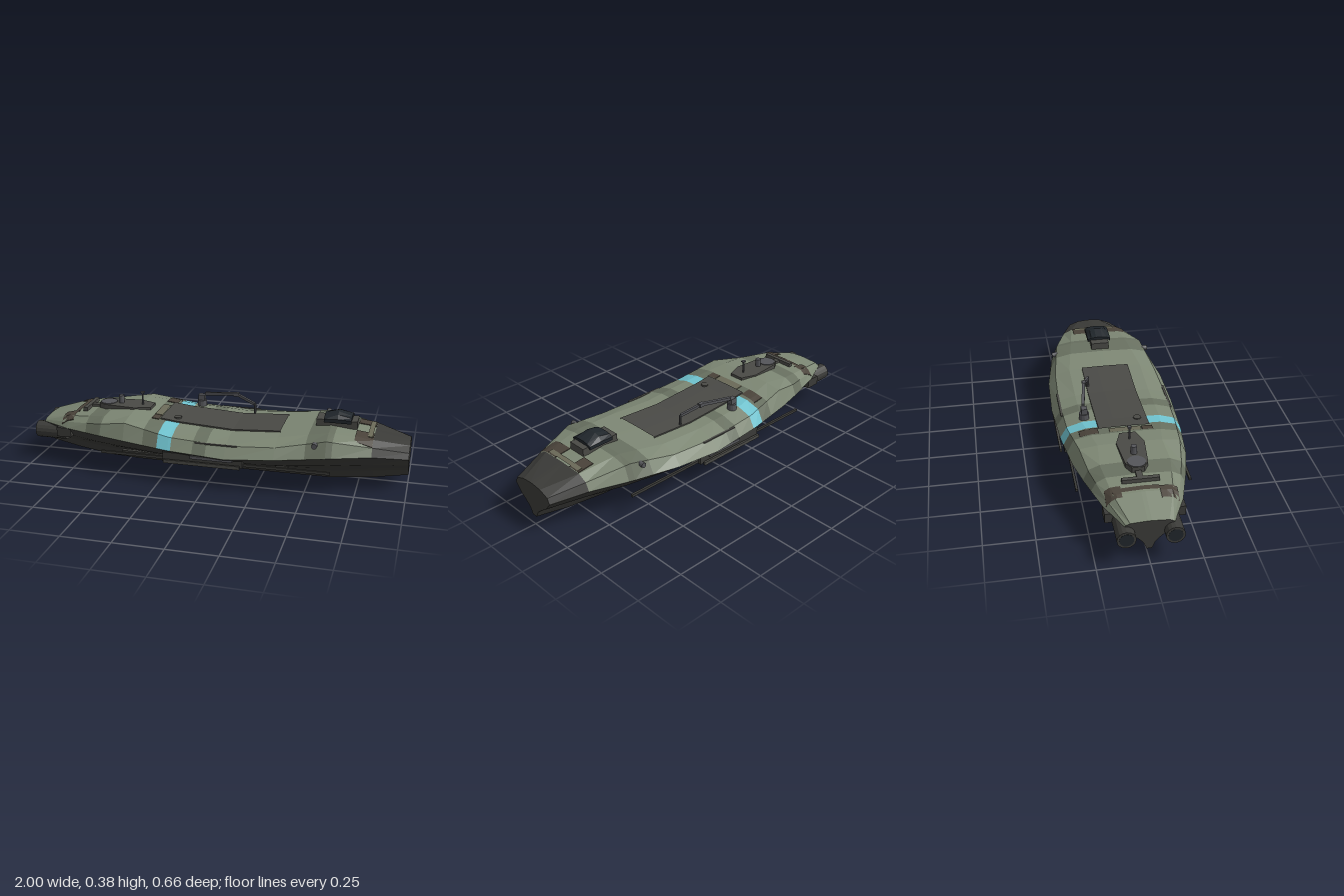
import * as THREE from 'three';

const mat = (color) => new THREE.MeshStandardMaterial({ color, flatShading: true, side: THREE.DoubleSide });
const M = {
  hull: mat(0x3b3b38), green: mat(0x7d8774), olive: mat(0x687060), cyan: mat(0x70c4d0),
  brown: mat(0x4a433a), panel: mat(0x4a4a46), metal: mat(0x55565a), black: mat(0x20262b), tan: mat(0x6b6a58),
};

// Stations: x, keel y, chine z/y, shoulder z/y, deck edge z/y, centre y
const STATIONS = [
  [-0.96, 0.06, 0.115, 0.20, 0.11, 0.207, 0.09, 0.215, 0.22],
  [-0.80, 0.03, 0.19, 0.20, 0.17, 0.23, 0.14, 0.255, 0.262],
  [-0.60, 0.005, 0.25, 0.20, 0.225, 0.255, 0.17, 0.28, 0.285],
  [-0.45, 0, 0.285, 0.197, 0.25, 0.283, 0.16, 0.296, 0.299],
  [-0.20, 0, 0.315, 0.18, 0.28, 0.24, 0.20, 0.265, 0.27],
  [0.10, 0, 0.33, 0.167, 0.29, 0.225, 0.20, 0.248, 0.252],
  [0.35, 0, 0.32, 0.185, 0.28, 0.237, 0.20, 0.263, 0.267],
  [0.60, 0, 0.275, 0.20, 0.245, 0.28, 0.16, 0.295, 0.298],
  [0.82, 0.02, 0.20, 0.20, 0.18, 0.243, 0.13, 0.268, 0.272],
  [1.00, 0.05, 0.135, 0.18, 0.12, 0.21, 0.065, 0.23, 0.235],
];

function station(x) {
  let i = 0;
  while (i < STATIONS.length - 2 && x > STATIONS[i + 1][0]) i++;
  const a = STATIONS[i], b = STATIONS[i + 1], t = (x - a[0]) / (b[0] - a[0]);
  return a.map((v, k) => v + (b[k] - v) * t);
}
const mirrorZ = (pts) => pts.concat(pts.slice().reverse().map(([z, y]) => [-z, y]));

// Deck runs over the top from +z to -z; hull runs underneath from -z to +z
function deckSection(x) {
  const [, , w, yc, s, ys, d, yd, yt] = station(x);
  return mirrorZ([[w, yc], [s, ys], [d, yd], [0.01, yt]]);
}
function hullSection(x) {
  const [, k, w, yc] = station(x);
  const h = yc - k, f = w / 0.33;
  return mirrorZ([[-w, yc], [-0.245 * f, k + h * 0.67], [-0.14 * f, k + h * 0.43], [-0.08 * f, k + h * 0.27], [-0.035 * f, k]]);
}
function deckY(x, z) {
  const p = deckSection(x);
  z = Math.abs(z);
  for (let i = 3; i > 0; i--) {
    if (z <= p[i - 1][0]) return p[i][1] + (p[i - 1][1] - p[i][1]) * Math.max(0, (z - p[i][0]) / (p[i - 1][0] - p[i][0]));
  }
  return p[0][1];
}

function loft(name, x0, x1, section, material) {
  const xs = [x0, ...STATIONS.map((s) => s[0]).filter((x) => x > x0 + 0.001 && x < x1 - 0.001), x1];
  const pos = [], idx = [];
  let n = 0;
  xs.forEach((x) => {
    const pts = section(x);
    n = pts.length;
    pts.forEach(([z, y]) => pos.push(x, y, z));
  });
  for (let r = 0; r < xs.length - 1; r++) {
    for (let i = 0; i < n - 1; i++) {
      const a = r * n + i, b = a + n;
      idx.push(a, b, b + 1, a, b + 1, a + 1);
    }
  }
  const g = new THREE.BufferGeometry();
  g.setAttribute('position', new THREE.Float32BufferAttribute(pos, 3));
  g.setIndex(idx);
  g.computeVertexNormals();
  const m = new THREE.Mesh(g, material);
  m.name = name;
  return m;
}

// Thin strip lying on the deck surface
function patch(name, x0, x1, z0, z1, material, lift = 0.004) {
  const section = (x) => {
    const zs = [z1, z1 + (z0 - z1) / 3, z1 + (z0 - z1) * 2 / 3, z0];
    const top = zs.map((z) => [z, deckY(x, z) + lift]);
    return [[z1, deckY(x, z1) - 0.005], ...top, [z0, deckY(x, z0) - 0.005]];
  };
  return loft(name, x0, x1, section, material);
}

function endCap(name, x, material) {
  const pts = [...deckSection(x), ...hullSection(x).slice(1, -1)];
  const g = new THREE.ShapeGeometry(new THREE.Shape(pts.map(([z, y]) => new THREE.Vector2(-z, y))));
  const m = new THREE.Mesh(g.rotateY(Math.PI / 2).translate(x, 0, 0), material);
  m.name = name;
  return m;
}
function mesh(name, geometry, material, x, y, z) {
  const m = new THREE.Mesh(geometry, material);
  m.name = name;
  m.position.set(x, y, z);
  return m;
}
const box = (name, w, h, d, x, y, z, material) => mesh(name, new THREE.BoxGeometry(w, h, d), material, x, y, z);
const cyl = (name, r, h, x, y, z, material, n = 12) => mesh(name, new THREE.CylinderGeometry(r, r, h, n), material, x, y, z);
function beam(name, a, b, thick, material) {
  const p = new THREE.Vector3(...a), q = new THREE.Vector3(...b);
  const m = box(name, thick, thick, p.distanceTo(q), 0, 0, 0, material);
  m.position.copy(p).add(q).multiplyScalar(0.5);
  m.lookAt(q);
  return m;
}

export function createModel() {
  const model = new THREE.Group();
  model.name = 'patrolBoat';

  // Hull and painted deck bands
  model.add(loft('hull', -0.96, 1, hullSection, M.hull), endCap('transom', -0.96, M.hull), endCap('bowFace', 1, M.hull));
  const bands = [[-0.96, 'green'], [-0.68, 'olive'], [-0.59, 'green'], [-0.34, 'olive'], [-0.26, 'cyan'], [-0.185, 'green'],
    [-0.07, 'olive'], [0, 'green'], [0.5, 'olive'], [0.63, 'green'], [0.82, 'hull'], [1]];
  for (let i = 0; i < bands.length - 1; i++) {
    model.add(loft('deckBand', bands[i][0], bands[i + 1][0], deckSection, M[bands[i][1]]));
  }

  // Deck panels and camouflage patches
  model.add(patch('deckHatch', -0.29, 0.35, -0.13, 0.13, M.panel, 0.007));
  model.add(patch('hatchLip', -0.335, -0.295, -0.08, 0.08, M.tan));
  model.add(patch('bowStrip', 0.79, 0.815, -0.115, 0.115, M.tan, 0.007));
  model.add(patch('bowPatch', 0.73, 0.82, -0.125, -0.055, M.brown), patch('bowPatch', 0.73, 0.82, 0.055, 0.18, M.brown));
  model.add(patch('midPatch', -0.335, -0.275, -0.23, -0.135, M.brown), patch('midPatch', -0.335, -0.295, 0.085, 0.14, M.brown));
  model.add(patch('sternStrip', -0.79, -0.765, -0.14, 0.08, M.brown));
  model.add(patch('sternPatch', -0.82, -0.75, -0.175, -0.1, M.brown), patch('sternPatch', -0.84, -0.77, 0.08, 0.165, M.brown));

  // Parts mirrored on both sides
  for (const s of [-1, 1]) {
    const jet = cyl('thruster', 0.045, 0.17, -0.915, 0.155, s * 0.112, M.hull, 16);
    jet.rotation.z = Math.PI / 2;
    const nozzle = cyl('nozzle', 0.034, 0.004, -0.999, 0.155, s * 0.112, M.black, 16);
    nozzle.rotation.z = Math.PI / 2;
    model.add(jet, nozzle, box('sternBlock', 0.08, 0.05, 0.04, -0.82, 0.175, s * 0.17, M.hull));
    model.add(box('sideRail', 1.2, 0.014, 0.012, 0.03, 0.127, s * 0.28, M.hull));
    model.add(box('railHousing', 0.42, 0.05, 0.05, -0.02, 0.14, s * 0.275, M.hull));
    model.add(box('outerRail', 0.4, 0.018, 0.011, -0.02, 0.124, s * 0.317, M.panel));
    model.add(box('fender', 0.22, 0.016, 0.03, 0.03, 0.155, s * 0.3, M.metal));
    model.add(box('strake', 0.9, 0.02, 0.025, -0.05, 0.085, s * 0.155, M.hull));
    const port = cyl('sidePort', 0.014, 0.03, 0.545, 0.26, s * 0.262, M.metal);
    port.rotation.x = Math.PI / 2;
    model.add(port, box('deckEdgeRail', 0.22, 0.006, 0.012, 0.05, 0.228, s * 0.29, M.panel));
  }

  // Sensor housing with faceted black cover
  const sensor = new THREE.Group();
  sensor.name = 'sensorHousing';
  const cover = new THREE.Shape([[-0.065, 0.315], [-0.065, 0.335], [-0.045, 0.355], [-0.018, 0.364], [0.018, 0.364], [0.045, 0.355],
    [0.065, 0.335], [0.065, 0.315], [0.05, 0.328], [-0.05, 0.328]].map((p) => new THREE.Vector2(...p)));
  const cg = new THREE.ExtrudeGeometry(cover, { depth: 0.14, steps: 2, bevelEnabled: false }).rotateY(Math.PI / 2).translate(0.56, 0, 0);
  const cp = cg.attributes.position;
  for (let i = 0; i < cp.count; i++) {
    const end = Math.abs(cp.getX(i) - 0.63) / 0.07;
    if (cp.getY(i) > 0.33) cp.setY(i, cp.getY(i) - 0.02 * end * (cp.getY(i) - 0.33) / 0.034);
  }
  cg.computeVertexNormals();
  sensor.add(mesh('sensorCover', cg, M.black, 0, 0, 0), box('sensorBase', 0.21, 0.04, 0.1, 0.625, 0.305, 0, M.panel),
    box('sensorCore', 0.12, 0.03, 0.09, 0.63, 0.325, 0, M.black));
  model.add(sensor);

  // Faceted instrument plinth, dome, post and mast
  const plinth = new THREE.Shape([[-0.67, -0.03], [-0.63, -0.055], [-0.46, -0.07], [-0.375, -0.04],
    [-0.375, 0.04], [-0.46, 0.07], [-0.63, 0.055], [-0.67, 0.03]].map((p) => new THREE.Vector2(...p)));
  const pg = new THREE.ExtrudeGeometry(plinth, { depth: 0.035, bevelEnabled: false }).rotateX(-Math.PI / 2);
  model.add(mesh('instrumentPlinth', pg, M.panel, 0, 0.27, 0));
  model.add(cyl('sensorDrum', 0.045, 0.03, -0.625, 0.293, 0, M.metal, 16));
  model.add(cyl('post', 0.015, 0.05, -0.553, 0.322, 0, M.metal));
  model.add(cyl('mast', 0.005, 0.08, -0.432, 0.332, 0, M.metal, 8), box('mastCap', 0.02, 0.007, 0.018, -0.432, 0.373, 0, M.metal));
  model.add(box('rearBar', 0.022, 0.02, 0.18, -0.73, 0.28, 0, M.panel), box('rearLink', 0.07, 0.014, 0.03, -0.7, 0.28, 0, M.panel));

  // Folding crane arm
  const crane = new THREE.Group();
  crane.name = 'craneArm';
  crane.add(cyl('craneBase', 0.026, 0.05, -0.15, 0.27, -0.185, M.metal), box('craneHead', 0.036, 0.035, 0.03, -0.15, 0.308, -0.185, M.metal));
  crane.add(beam('lowerArm', [-0.13, 0.33, -0.187], [0.05, 0.352, -0.158], 0.016, M.metal));
  crane.add(beam('upperArm', [0.05, 0.352, -0.158], [0.16, 0.316, -0.122], 0.014, M.metal));
  crane.add(box('elbow', 0.03, 0.02, 0.02, 0.05, 0.35, -0.157, M.metal), cyl('hook', 0.006, 0.055, 0.163, 0.29, -0.122, M.metal, 8));
  model.add(crane);
  model.add(cyl('hatchKnob', 0.02, 0.012, -0.21, 0.277, 0.08, M.panel));
  return model;
}
